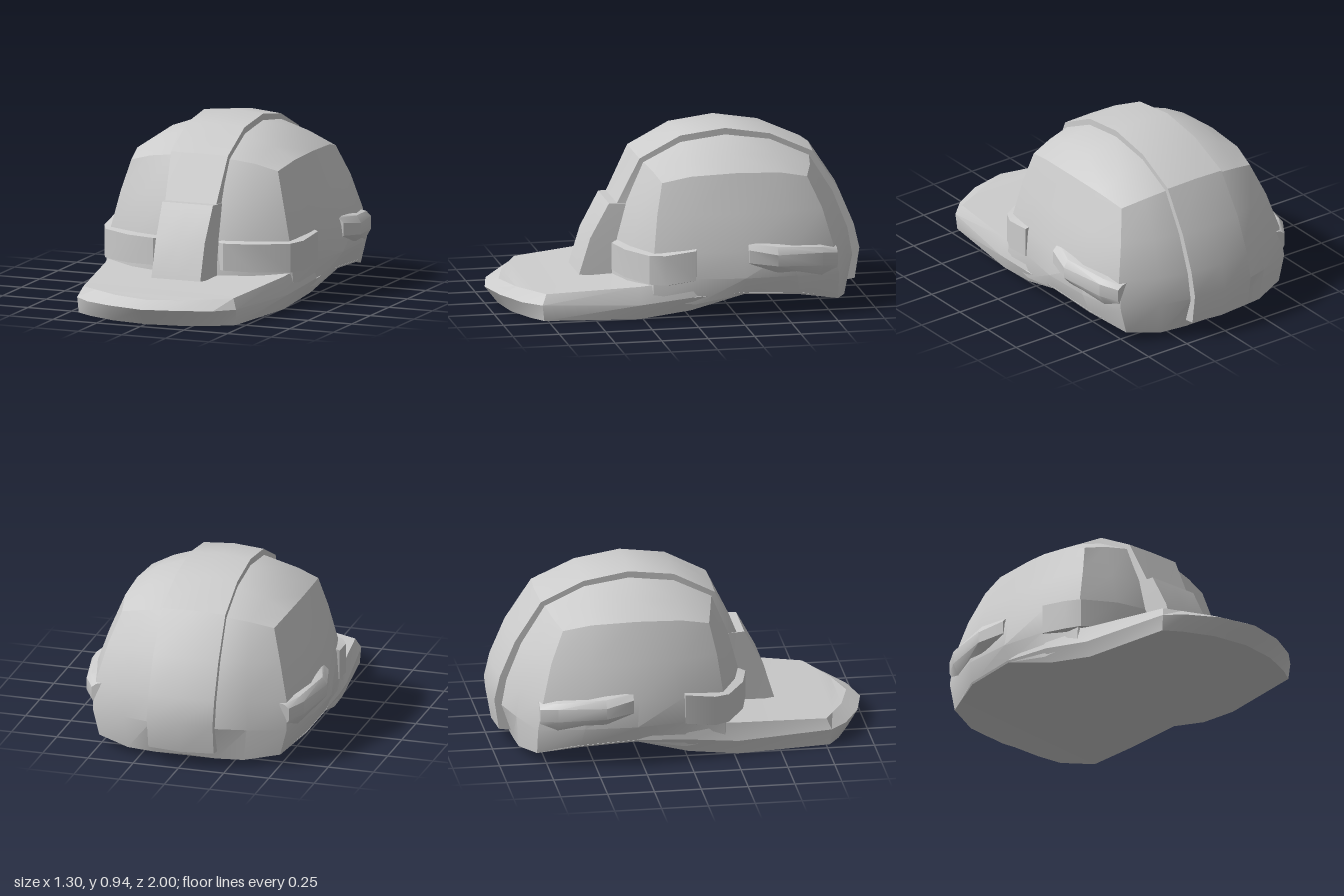
import * as THREE from 'three';
import { mergeGeometries, toCreasedNormals } from 'three/addons/utils/BufferGeometryUtils.js';

const material = new THREE.MeshStandardMaterial({ color: 0xcccccc });
const mirror = ([x, y, z]) => [-x, y, z];

// Skin rows of points with quads; faces are turned to point away from the middle.
function loft(rows, capEnds = false) {
  const tris = [];
  const tri = (...t) => {
    const [a, b, c] = t.map((p) => new THREE.Vector3(...p));
    if (new THREE.Triangle(a, b, c).getArea() > 1e-7) tris.push([a, b, c]);
  };
  for (let i = 0; i + 1 < rows.length; i++) {
    for (let j = 0; j + 1 < rows[i].length; j++) {
      const [a, b, c, d] = [rows[i][j], rows[i][j + 1], rows[i + 1][j + 1], rows[i + 1][j]];
      tri(a, b, c);
      tri(a, c, d);
    }
  }
  if (capEnds) {
    const first = rows[0], last = rows[rows.length - 1];
    for (let j = 1; j + 1 < first.length; j++) {
      tri(first[0], first[j + 1], first[j]);
      tri(last[0], last[j], last[j + 1]);
    }
  }
  const mid = new THREE.Box3().setFromPoints(tris.flat()).getCenter(new THREE.Vector3());
  let volume = 0;
  for (const t of tris) {
    const [a, b, c] = t.map((p) => p.clone().sub(mid));
    volume += a.dot(b.cross(c));
  }
  const points = tris.flatMap(([a, b, c]) => (volume < 0 ? [a, c, b] : [a, b, c]));
  return new THREE.BufferGeometry().setFromPoints(points);
}

function part(name, geometry, crease = 0.55) {
  const mesh = new THREE.Mesh(toCreasedNormals(geometry, crease), material);
  mesh.name = name;
  return mesh;
}

function pair(name, rows) {
  const group = new THREE.Group();
  group.name = name + 's';
  group.add(part(name + 'Left', loft(rows, true)));
  group.add(part(name + 'Right', loft(rows.map((r) => r.map(mirror)), true)));
  return group;
}

// Dome: upright columns from rim to crown edge, then a cap in rows across x
function shell() {
  const front = [
    [[0, .1, .36], [0, .22, .35], [0, .36, .33], [0, .55, .28], [0, .77, .19]],
    [[.17, .1, .35], [.17, .22, .345], [.17, .36, .32], [.17, .55, .27], [.17, .765, .18]],
    [[.34, .1, .31], [.34, .22, .3], [.33, .36, .28], [.32, .55, .23], [.3, .745, .155]],
    [[.54, .1, .2], [.53, .22, .2], [.51, .36, .19], [.465, .55, .165], [.42, .71, .13]],
  ];
  const side = [
    [[.57, .08, -.02], [.58, .22, -.02], [.57, .36, -.02], [.515, .55, -.02], [.45, .745, -.02]],
    [[.59, .13, -.28], [.62, .22, -.28], [.6, .36, -.27], [.535, .55, -.26], [.46, .755, -.26]],
    [[.575, .11, -.58], [.61, .22, -.56], [.595, .36, -.54], [.53, .55, -.52], [.45, .745, -.5]],
  ];
  const back = [
    [[.5, .06, -.8], [.535, .2, -.8], [.525, .36, -.77], [.475, .55, -.72], [.42, .71, -.65]],
    [[.32, .035, -.87], [.34, .21, -.885], [.335, .36, -.865], [.32, .56, -.8], [.3, .745, -.69]],
    [[.17, .03, -.88], [.17, .22, -.945], [.17, .36, -.92], [.17, .56, -.84], [.17, .765, -.71]],
    [[0, .04, -.89], [0, .22, -.95], [0, .36, -.925], [0, .56, -.845], [0, .77, -.715]],
  ];
  const half = [...front, ...side, ...back];
  const otherHalf = half.slice(0, -1).reverse().map((c) => c.map(mirror));
  const wall = loft([...half, ...otherHalf]);

  const top = (c) => c[4];
  const capRows = [
    front.map(top),
    [[0, .875, -.02], [.17, .865, -.02], [.33, .81, -.02], top(side[0])],
    [[0, .905, -.26], [.17, .895, -.26], [.35, .83, -.26], top(side[1])],
    [[0, .87, -.5], [.17, .86, -.5], [.33, .81, -.5], top(side[2])],
    [...back].reverse().map(top),
  ].map((r) => [...r.slice(1).reverse().map(mirror), ...r]);
  return part('shell', mergeGeometries([wall, loft(capRows)]), 0.45);
}

// Brim and closed underside: half outline from nose to nape, [bottom, outer, top]
function brim() {
  const outline = [
    [[0, 0, .93], [0, .09, 1], [0, .13, .925]],
    [[.2, 0, .9], [.2, .09, .955], [.2, .132, .87]],
    [[.36, 0, .83], [.36, .085, .87], [.34, .137, .8]],
    [[.45, 0, .77], [.455, .085, .78], [.43, .14, .755]],
    [[.51, 0, .27], [.535, .08, .27], [.51, .175, .27]],
    [[.55, .045, 0], [.578, .12, 0], [.565, .215, -.02]],
    [[.59, .13, -.28], [.595, .14, -.28], [.55, .16, -.28]],
    [[.575, .11, -.58], [.58, .12, -.58], [.52, .14, -.58]],
    [[.5, .06, -.8], [.5, .07, -.8], [.46, .1, -.76]],
    [[.32, .035, -.87], [.32, .045, -.87], [.3, .08, -.82]],
    [[.17, .03, -.88], [.17, .04, -.88], [.16, .08, -.84]],
    [[0, .04, -.89], [0, .05, -.89], [0, .08, -.85]],
  ];
  return part('brim', loft(outline.map(([b, o, t]) =>
    [b, o, t, mirror(t), mirror(o), mirror(b), b])), 0.4);
}

// Raised strip: station = [outer half width, y, z, root half width, y, z, crown bulge]
function strip(name, stations) {
  return part(name, loft(stations.map(([w, y, z, w2, y2, z2, bulge]) => {
    const out = new THREE.Vector2(y - .3, z + .25).setLength(bulge);
    return [[-w2, y2, z2], [-w, y, z], [0, y + out.x, z + out.y], [w, y, z], [w2, y2, z2], [-w2, y2, z2]];
  }), true));
}

export function createModel() {
  const model = new THREE.Group();
  model.name = 'hardHat';
  model.add(shell(), brim());

  model.add(strip('centreRidge', [
    [.145, .53, .325, .165, .5, .26, 0],
    [.163, .785, .2, .168, .74, .15, .003],
    [.165, .9, -.02, .168, .84, -.03, .012],
    [.168, .93, -.26, .168, .86, -.26, .015],
    [.17, .89, -.5, .17, .83, -.48, .015],
    [.175, .785, -.73, .175, .73, -.67, .015],
    [.18, .57, -.87, .18, .54, -.8, .015],
    [.182, .38, -.95, .182, .36, -.88, .017],
    [.182, .25, -.98, .182, .24, -.9, .02],
    [.18, .085, -.955, .18, .07, -.86, .015],
  ]));
  model.add(strip('frontBlock', [
    [.14, .165, .52, .165, .15, .33, 0],
    [.14, .36, .46, .165, .36, .29, 0],
    [.145, .545, .36, .165, .545, .24, 0],
  ]));

  // Front bands wrap the brow from the block to the temples: [x, z, top, bottom, inner x, inner z]
  model.add(pair('frontBand', [
    [.165, .335, .345, .2, .15, .28],
    [.2, .357, .345, .2, .19, .27],
    [.36, .32, .345, .195, .32, .24],
    [.53, .22, .345, .19, .47, .16],
    [.57, .14, .35, .19, .51, .1],
    [.585, -.02, .373, .213, .54, -.03],
  ].map(([x, z, top, bottom, xi, zi]) => {
    const loop = [[xi, top + .016, zi], [x, top, z], [x, bottom, z], [xi, bottom - .016, zi]];
    return [...loop, loop[0]];
  })));

  // Side lugs: [z, outer x, root x, four heights from top to bottom]
  model.add(pair('sideLug', [
    [-.3, .612, .57, .405, .37, .3, .27],
    [-.45, .65, .57, .395, .345, .285, .245],
    [-.7, .6, .52, .37, .335, .265, .205],
    [-.79, .545, .48, .35, .32, .255, .2],
  ].map(([z, x, xi, a, b, c, d]) => {
    const loop = [[xi, a, z], [x - .025, a - .01, z], [x, b, z], [x, c, z], [x - .035, d, z], [xi, d, z]];
    return [...loop, loop[0]];
  })));
  return model;
}
